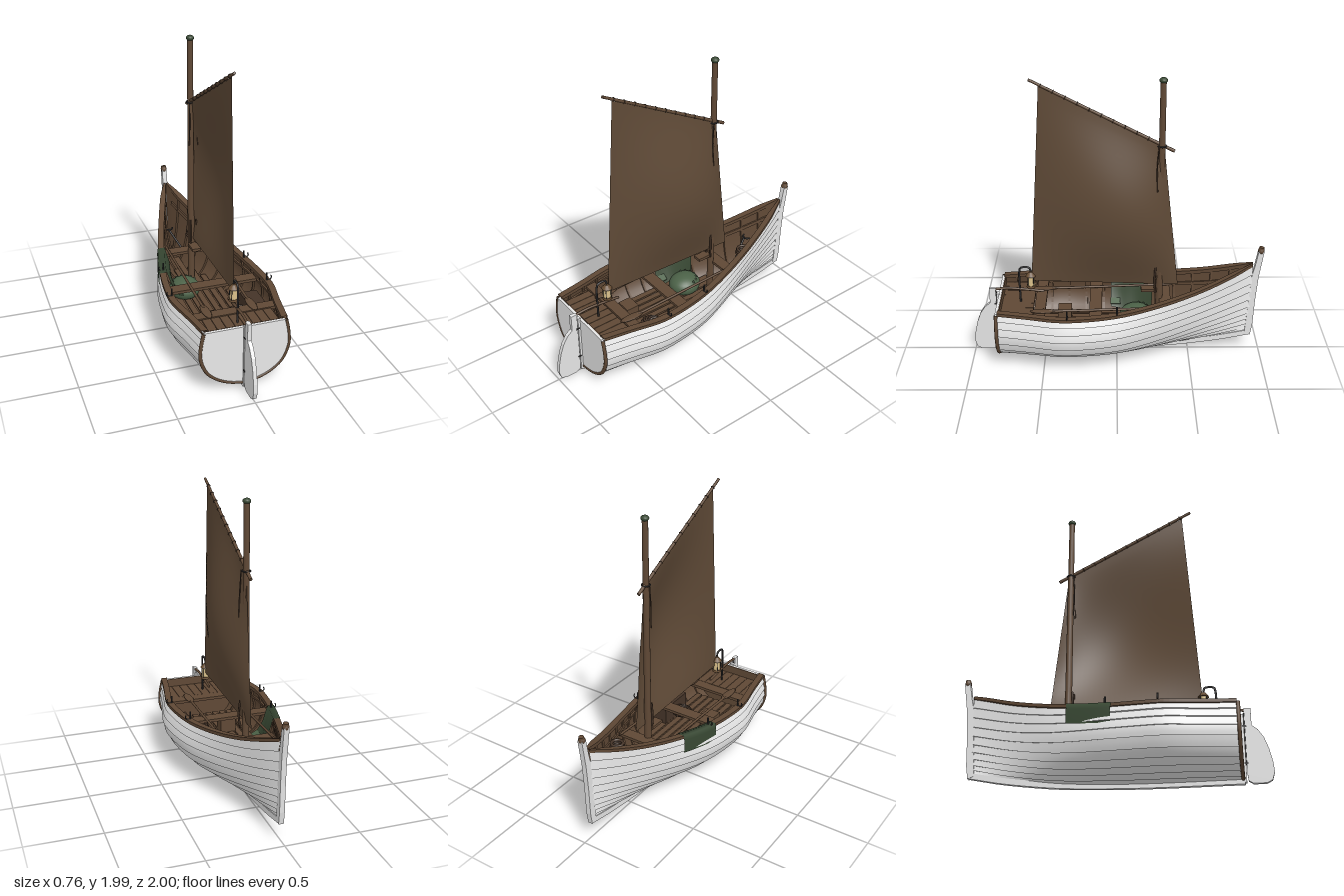
import * as THREE from 'three';

const mat = (name, color, side = THREE.DoubleSide) => {
  const m = new THREE.MeshStandardMaterial({ color, side });
  m.name = name;
  return m;
};
const V = (x, y, z) => new THREE.Vector3(x, y, z);

// smooth interpolation through [z, value] stations
function interp(t, z) {
  const n = t.length, slope = i => {
    const a = t[Math.max(i - 1, 0)], b = t[Math.min(i + 1, n - 1)];
    return (b[1] - a[1]) / (b[0] - a[0]);
  };
  let i = 0;
  while (i < n - 2 && z > t[i + 1][0]) i++;
  const h = t[i + 1][0] - t[i][0], u = (z - t[i][0]) / h;
  return t[i][1] * (1 + 2 * u) * (1 - u) ** 2 + slope(i) * h * u * (1 - u) ** 2
    + t[i + 1][1] * u * u * (3 - 2 * u) + slope(i + 1) * h * u * u * (u - 1);
}
const BOW = -0.925, STERN = 0.8;
const beam = [[-.925, .01], [-.8, .062], [-.6, .135], [-.4, .205], [-.2, .27], [0, .325], [.2, .358], [.38, .366], [.6, .322], [.8, .286]];
const sheer = [[-.925, .667], [-.6, .555], [-.3, .485], [0, .445], [.4, .435], [.8, .44]];
const keelY = [[-.925, .15], [-.7, .105], [-.4, .065], [-.2, .05], [.2, .036], [.8, .034]];
const curve = pts => new THREE.CatmullRomCurve3(pts.map(p => V(p[0], p[1], 0)));
const full = curve([[0, 0], [.35, .05], [.64, .15], [.87, .31], [1, .57], [.985, .79], [.925, 1]]);
const vee = curve([[0, 0], [.22, .09], [.42, .22], [.6, .38], [.76, .57], [.89, .78], [1, 1]]);

// point on the half section at station z, s = 0 keel .. 1 sheer, pushed outward by off
function sec(z, s, off = 0) {
  const w = THREE.MathUtils.smoothstep(-z, -0.05, 0.92);
  const B = interp(beam, z), S = interp(sheer, z), K = interp(keelY, z);
  const at = q => {
    const p = full.getPoint(q).lerp(vee.getPoint(q), w);
    return [p.x * B, K + p.y * (S - K)];
  };
  const p = at(s), a = at(Math.max(s - .01, 0)), b = at(Math.min(s + .01, 1));
  const dx = b[0] - a[0], dy = b[1] - a[1], l = Math.hypot(dx, dy);
  return [Math.max(p[0] + off * dy / l, 0), p[1] - off * dx / l];
}
function halfWidth(z, y) {
  for (let s = 0; s <= 1; s += .02) {
    const p = sec(z, s, -.014);
    if (p[1] >= y) return p[0];
  }
  return sec(z, 1, -.014)[0];
}

// surface from fn(u, v) -> [x, y, z]
function grid(nu, nv, fn, flat = false) {
  const pos = [], idx = [];
  for (let i = 0; i <= nu; i++) for (let j = 0; j <= nv; j++) pos.push(...fn(i / nu, j / nv));
  for (let i = 0; i < nu; i++) for (let j = 0; j < nv; j++) {
    const a = i * (nv + 1) + j, b = a + nv + 1;
    idx.push(a, b, a + 1, b, b + 1, a + 1);
  }
  let g = new THREE.BufferGeometry();
  g.setAttribute('position', new THREE.Float32BufferAttribute(pos, 3));
  g.setIndex(idx);
  if (flat) g = g.toNonIndexed();
  g.computeVertexNormals();
  return g;
}
// side-on plate from [z, y] outline
function plate(pts, t) {
  const g = new THREE.ExtrudeGeometry(new THREE.Shape(pts.map(p => new THREE.Vector2(p[0], p[1]))), { depth: t, bevelEnabled: false });
  return g.translate(0, 0, -t / 2).rotateY(-Math.PI / 2);
}
const tube = (pts, r, seg = 24) => new THREE.TubeGeometry(new THREE.CatmullRomCurve3(pts.map(p => V(...p)), false, 'centripetal'), seg, r, 8);
function spar(a, b, r0, r1) {
  const A = V(...a), d = V(...b).sub(A), g = new THREE.CylinderGeometry(r1, r0, d.length(), 14);
  g.applyQuaternion(new THREE.Quaternion().setFromUnitVectors(V(0, 1, 0), d.clone().normalize()));
  const c = A.addScaledVector(d, .5);
  return g.translate(c.x, c.y, c.z);
}

export function createModel() {
  const root = new THREE.Group();
  root.name = 'sailingBoat';
  const white = mat('white paint', 0xe4e4e4), bright = mat('bright white paint', 0xf8f8f8), wood = mat('brown wood', 0x5f4835);
  const cloth = mat('tan sailcloth', 0x5e4936), green = mat('green canvas', 0x4c6248), deep = mat('dark green', 0x384833);
  const iron = mat('dark iron', 0x2e2d2e), rope = mat('rope', 0x453428), glass = mat('lantern glass', 0xd9c08a), brass = mat('brass', 0x674d33);
  const add = (name, g, m, x = 0, y = 0, z = 0) => {
    const o = new THREE.Mesh(g, m);
    o.name = name;
    o.position.set(x, y, z);
    root.add(o);
    return o;
  };
  const box = (name, w, h, d, m, x, y, z) => add(name, new THREE.BoxGeometry(w, h, d), m, x, y, z);
  const zAt = u => BOW + (STERN - BOW) * u;

  // overlapping planks, inner skin, rails and ribs on both sides
  const N = 10;
  for (const k of [-1, 1]) {
    for (let i = 0; i < N; i++) {
      const s0 = i / N, s1 = (i + 1) / N;
      add('plank', grid(48, 3, (u, v) => {
        const [x, y] = sec(zAt(u), s0 + (s1 - s0) * v, .011 * (1 - v));
        return [k * x, y, zAt(u)];
      }), white);
      add('plankLip', grid(48, 1, (u, v) => {
        const [x, y] = sec(zAt(u), s0, .011 * v);
        return [k * x, y, zAt(u)];
      }), white);
    }
    add('innerSkin', grid(40, 20, (u, v) => {
      const [x, y] = sec(zAt(u), v, -.01);
      return [k * x, y, zAt(u)];
    }), wood);
    // rail narrows to a point at the stem
    const ring = [[.017, -.008], [.017, .014], [-.026, .014], [-.026, -.012], [.017, -.008]];
    add('gunwale', grid(48, 4, (u, v) => {
      const z = zAt(u), r = ring[Math.round(v * 4)], [x, y] = sec(z, 1);
      const taper = Math.min(1, .35 + (z - BOW) * 5);
      return [k * Math.max(x + r[0] * taper, 0), y + r[1], z];
    }, true), wood);
    for (let z = -.78; z < .75; z += .125)
      add('rib', grid(14, 3, (u, v) => {
        const [x, y] = sec(z, .2 + .79 * u, v > 0 && v < 1 ? -.02 : -.008);
        return [k * x, y, z + (v < .5 ? -.008 : .008)];
      }, true), wood);
    add('stringer', grid(40, 3, (u, v) => {
      const z = -.85 + 1.64 * u, [x, y] = sec(z, v < .5 ? .83 : .87, v > 0 && v < 1 ? -.022 : -.01);
      return [k * x, y, z];
    }, true), wood);
  }

  // transom with edge trim
  const edge = [];
  for (let i = -24; i <= 24; i++) {
    const [x, y] = sec(STERN, Math.abs(i) / 24);
    edge.push(new THREE.Vector2(Math.sign(i) * x, y));
  }
  const panel = depth => new THREE.ExtrudeGeometry(new THREE.Shape(edge), { depth, bevelEnabled: false });
  add('transom', panel(.018), bright, 0, 0, STERN - .003);
  add('transomLining', panel(.006), wood, 0, 0, STERN - .01);
  add('transomTrim', tube(edge.map(p => [p.x * 1.025, p.y - .004, STERN + .008]), .012, 60), wood);

  // keel, stem and rudder
  const low = [], top = [];
  for (let i = 0; i <= 20; i++) {
    const z = BOW + (STERN + .02 - BOW) * i / 20, y = interp(keelY, Math.min(z, STERN));
    low.push([z, y - .034]);
    top.unshift([z, y + .005]);
  }
  add('keel', plate([...low, ...top], .03), white);
  add('stem', plate([[-.895, .13], [-.935, .115], [-.948, .2], [-.955, .4], [-.968, .58], [-.995, .775], [-.958, .78], [-.938, .66], [-.92, .58], [-.905, .3]], .034), white);
  add('stemCap', new THREE.CylinderGeometry(.017, .022, .03, 14), wood, 0, .787, -.976).rotation.x = -.15;
  add('stemCapBand', new THREE.SphereGeometry(.023, 14, 10), wood, 0, .775, -.975);
  add('sternpost', plate([[.81, .01], [.83, .01], [.83, .45], [.81, .45]], .03), white);
  add('rudder', plate([[.835, .49], [.878, .49], [.878, .375], [.915, .345], [.95, .29], [.975, .22], [.995, .13], [1, .07], [.985, .02], [.95, .002], [.87, .002], [.84, .02], [.835, .06]], .026), white);
  add('rudderPin', new THREE.CylinderGeometry(.005, .005, .34, 8), iron, 0, .29, .8325);
  for (const y of [.13, .37]) box('rudderHinge', .033, .012, .025, iron, 0, y, .833);
  add('tiller', tube([[0, .475, .87], [0, .487, .75], [0, .475, .6], [0, .463, .5]], .009), wood);

  // floorboards, stern deck, thwarts
  for (let i = -4; i <= 4; i++) {
    const x = i * .053;
    let z0 = -.75;
    while (z0 < .4 && halfWidth(z0, .16) < Math.abs(x) + .02) z0 += .02;
    box('floorboard', .04, .012, .7 - z0, wood, x, .165, (z0 + .7) / 2);
  }
  for (let i = -4; i <= 4; i++) box('sternDeckBoard', .056, .014, .22, wood, i * .059, .375, .68);
  for (const [z, d, y] of [[-.33, .08, .405], [.145, .085, .375], [.525, .075, .375]])
    box('thwart', 2 * halfWidth(z - d / 2, y) - .01, .02, d, wood, 0, y, z);

  // mast, yard and sail
  add('mast', spar([0, .1, -.29], [0, 1.965, -.29], .025, .019), wood);
  add('mastCap', new THREE.SphereGeometry(.027, 14, 8).scale(1, .7, 1), deep, 0, 1.971, -.29);
  add('yard', spar([0, 1.5, -.37], [0, 1.975, .55], .011, .009), wood);
  const corner = [V(0, .52, -.417), V(0, .55, .583), V(0, 1.53, -.305), V(0, 1.935, .49)];
  add('sail', grid(28, 28, (u, v) => {
    const p = corner[0].clone().lerp(corner[1], u).lerp(corner[2].clone().lerp(corner[3], u), v);
    const bulge = Math.sin(Math.PI * u ** .8) * Math.max(Math.sin(Math.PI * v ** .9), 0) ** 1.3;
    return [.006 + .115 * bulge, p.y, p.z];
  }), cloth);
  for (let i = 0; i < 11; i++) {
    const t = .1 + .082 * i;
    add('yardLashing', new THREE.TorusGeometry(.0115, .0025, 6, 12), rope, 0, 1.5 + .475 * t, -.37 + .92 * t).rotation.x = -.476;
  }
  add('traveller', new THREE.TorusGeometry(.027, .005, 6, 18).rotateX(Math.PI / 2), iron, 0, 1.535, -.29);
  for (const x of [-.012, .028]) {
    add('halyard', tube([[x, 1.54, -.27], [x * 1.2, 1.38, -.26], [x * 1.5, 1.23, -.265]], .004), rope);
    add('belayedLine', tube([[x, .67, -.262], [x * 1.3, .56, -.257], [x, .47, -.262]], .007), rope);
  }
  box('mastClamp', .06, .02, .11, wood, 0, .48, -.22);

  // rowlocks on the rails
  for (const k of [-1, 1]) for (const z of [0, .33]) {
    const [x, y] = sec(z, 1);
    add('rowlockPin', new THREE.CylinderGeometry(.006, .006, .06, 8), iron, k * (x - .01), y + .035, z);
    add('rowlock', new THREE.TorusGeometry(.018, .004, 6, 16, Math.PI * 1.5), iron, k * (x + .006), y + .031, z).rotation.z = Math.PI * .75;
  }

  // oars resting on the thwarts
  for (const k of [-1, 1]) {
    add('oarShaft', spar([k * .16, .425, -.39], [k * .155, .395, .46], .008, .009), wood);
    add('oarBlade', new THREE.SphereGeometry(1, 16, 8).scale(.03, .007, .09), wood, k * .155, .396, .5);
  }

  // lantern on its bent post
  add('lanternPost', tube([[0, .38, .665], [0, .62, .665], [0, .643, .658], [0, .65, .645], [0, .65, .605], [0, .643, .594], [0, .62, .588]], .007, 60), iron);
  add('lanternBase', new THREE.CylinderGeometry(.029, .032, .016, 14), brass, 0, .507, .588);
  add('lanternGlass', new THREE.CylinderGeometry(.023, .025, .075, 14), glass, 0, .55, .588);
  add('lanternCap', new THREE.CylinderGeometry(.012, .036, .03, 14), brass, 0, .6, .588);
  for (let i = 0; i < 4; i++) {
    const a = Math.PI * (i / 2 + .25);
    add('lanternBar', new THREE.CylinderGeometry(.003, .003, .08, 6), iron, Math.cos(a) * .027, .55, .588 + Math.sin(a) * .027);
  }

  // canvas draped over the rail, with a covered bundle inside
  add('canvas', grid(12, 5, (u, v) => {
    const z = -.25 + .29 * u, [x, y] = sec(z, 1), wave = .006 * Math.sin(u * 14);
    const p = [[x + .024, y - .115], [x + .024, y - .02], [x + .019, y + .017], [x - .03, y + .017], [x - .065, y - .1 + wave], [.17, .23 + wave]][Math.round(v * 5)];
    return [-p[0], p[1], z];
  }), deep);
  box('canvasHem', .05, .008, .07, green, -.185, .272, .01).rotation.z = -.5;
  add('bundle', new THREE.SphereGeometry(1, 28, 16).scale(.107, .075, .115), green, -.1, .215, -.135);
  for (let i = 0; i < 7; i++) {
    const a = Math.PI * (1.08 + i * .14);
    add('bundleStud', new THREE.SphereGeometry(.01, 8, 6), deep, -.1 + Math.cos(a) * .082, .262, -.135 + Math.sin(a) * .085);
  }

  // loose gear: net, locker, crate, rope coil, anchor
  add('net', new THREE.TorusKnotGeometry(.045, .008, 160, 6, 7, 9).scale(1, 1, .8).rotateX(Math.PI / 2), rope, .135, .24, .33);
  box('locker', .12, .13, .27, rope, .25, .24, .335);
  box('crate', .11, .11, .095, wood, -.085, .225, .365);
  for (let i = 0; i < 3; i++)
    add('ropeCoil', new THREE.TorusGeometry(.044 - i * .003, .01, 8, 24).rotateX(Math.PI / 2), rope, .085, .425 + i * .017, -.52);
  add('anchorShank', spar([-.06, .42, -.66], [0, .32, -.53], .007, .007), iron);
  add('anchorArms', new THREE.TorusGeometry(.03, .006, 6, 14, Math.PI).rotateX(Math.PI / 2), iron, -.055, .42, -.68);
  return root;
}
